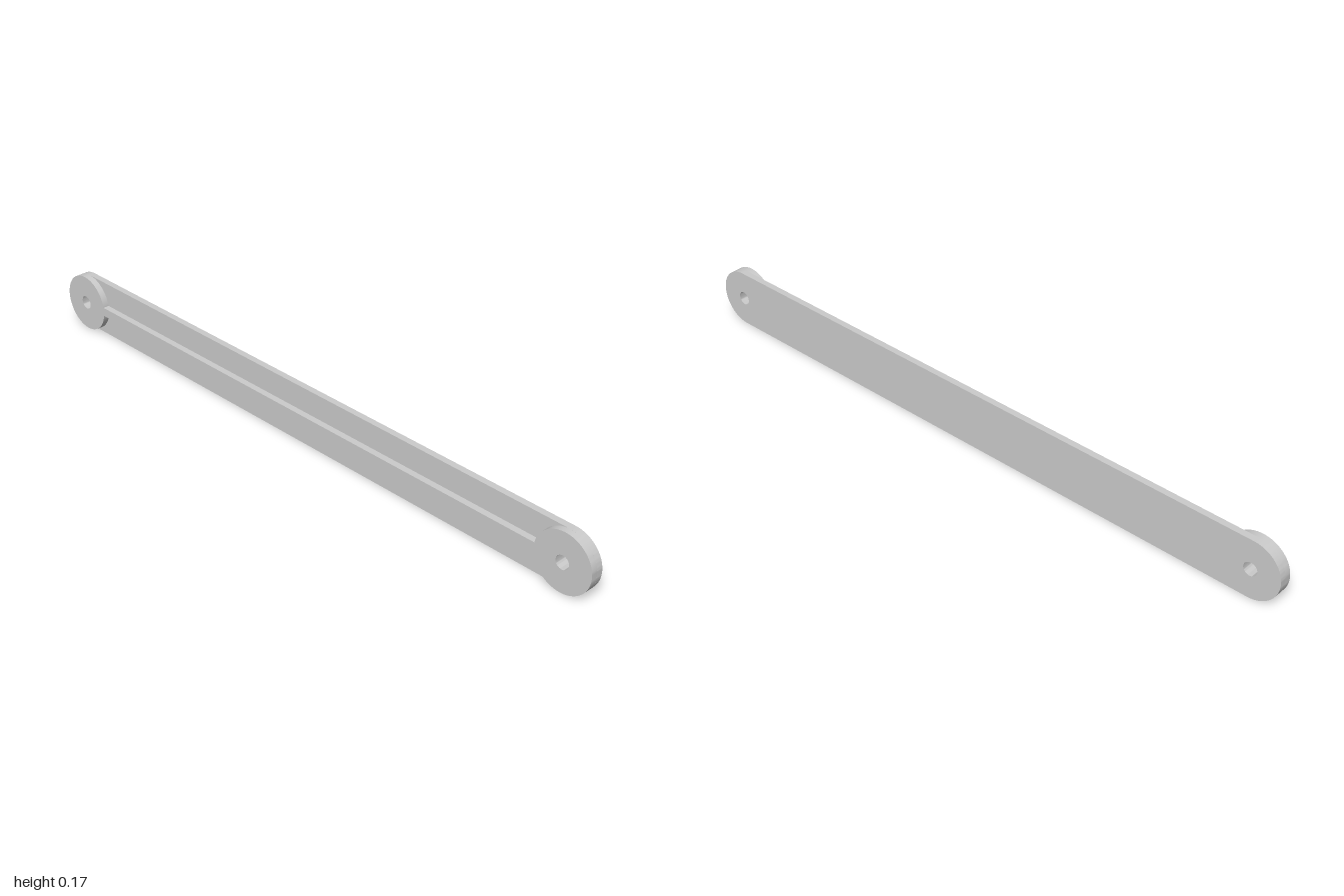
import * as THREE from 'three';
import { toCreasedNormals } from 'three/addons/utils/BufferGeometryUtils.js';

const R = 0.086;      // end radius
const CX = 1 - R;     // pivot centre distance from the middle
const HOLE = 0.02;    // pivot hole radius
const RIB = 0.0135;   // half height of the rib
const BACK = -0.019, MID = 0, FRONT = 0.019;

const material = new THREE.MeshStandardMaterial({ color: 0xcccccc });

function addHole(shape, x) {
  const hole = new THREE.Path();
  hole.absarc(x, 0, HOLE, 0, Math.PI * 2, true);
  shape.holes.push(hole);
}

function extrude(name, shape, z0, z1) {
  const geometry = new THREE.ExtrudeGeometry(shape, { depth: z1 - z0, bevelEnabled: false, curveSegments: 32 });
  const mesh = new THREE.Mesh(toCreasedNormals(geometry, 0.6), material);
  mesh.name = name;
  mesh.position.set(0, R, z0);
  return mesh;
}

export function createModel() {
  const group = new THREE.Group();
  group.name = 'linkArm';

  // Round-ended back plate with a hole at each end
  const plate = new THREE.Shape();
  plate.absarc(CX, 0, R, -Math.PI / 2, Math.PI / 2, false);
  plate.absarc(-CX, 0, R, Math.PI / 2, Math.PI * 1.5, false);
  plate.closePath();
  for (const s of [-1, 1]) addHole(plate, s * CX);
  group.add(extrude('plate', plate, BACK, MID));

  // Raised round bosses around the holes
  for (const s of [-1, 1]) {
    const boss = new THREE.Shape();
    boss.absarc(s * CX, 0, R, 0, Math.PI * 2, false);
    addHole(boss, s * CX);
    group.add(extrude(s > 0 ? 'leftBoss' : 'rightBoss', boss, MID, FRONT));
  }

  // Centre rib, flush with the bosses, its ends cut to their curve
  const a = Math.asin(RIB / R);
  const rib = new THREE.Shape();
  rib.absarc(CX, 0, R, Math.PI + a, Math.PI - a, true);
  rib.absarc(-CX, 0, R, a, -a, true);
  rib.closePath();
  group.add(extrude('rib', rib, MID, FRONT));

  return group;
}
